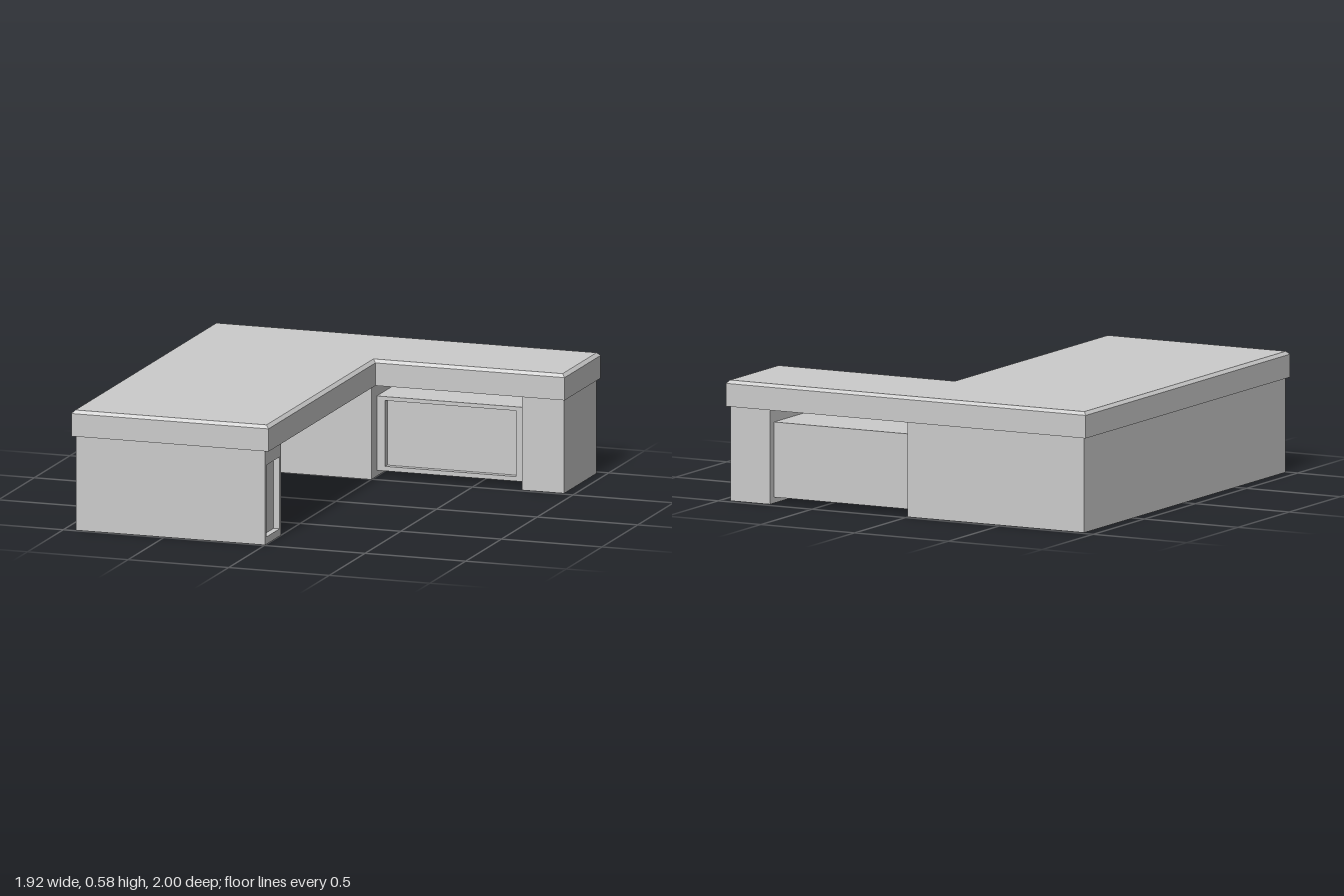
import * as THREE from 'three';

const material = new THREE.MeshStandardMaterial({ color: 0xcccccc, flatShading: true });

function addMesh(group, name, geometry) {
  const mesh = new THREE.Mesh(geometry, material);
  mesh.name = name;
  group.add(mesh);
  return mesh;
}

// Box given by its limits
function addBox(group, name, [x0, x1], [y0, y1], [z0, z1]) {
  const geometry = new THREE.BoxGeometry(x1 - x0, y1 - y0, z1 - z0);
  geometry.translate((x0 + x1) / 2, (y0 + y1) / 2, (z0 + z1) / 2);
  return addMesh(group, name, geometry);
}

// Floor plan of [x, z] points raised from y0 to y1
function raisePlan(points, y0, y1, steps = 1) {
  const shape = new THREE.Shape(points.map(([x, z]) => new THREE.Vector2(x, -z)));
  return new THREE.ExtrudeGeometry(shape, { depth: y1 - y0, steps, bevelEnabled: false })
    .rotateX(-Math.PI / 2).translate(0, y0, 0);
}

// Rectangular frame facing +z, with an opening
function frame([x0, x1], [y0, y1], [hx0, hx1], [hy0, hy1], depth) {
  const rect = (a, b, c, d) => [[a, c], [b, c], [b, d], [a, d]].map((p) => new THREE.Vector2(...p));
  const shape = new THREE.Shape(rect(x0, x1, y0, y1));
  shape.holes.push(new THREE.Path(rect(hx0, hx1, hy0, hy1)));
  return new THREE.ExtrudeGeometry(shape, { depth, bevelEnabled: false });
}

export function createModel() {
  const desk = new THREE.Group();
  desk.name = 'cornerDesk';
  const under = 0.452, top = 0.576, chamfer = 0.015, inset = 0.03;

  // L-shaped worktop: the upper ring is drawn inwards to chamfer its edge
  const plan = [[-0.96, -1], [-0.96, 1], [0.02, 1], [0.02, -0.495], [0.96, -0.495], [0.96, -1]];
  const worktop = raisePlan(plan, under, top, 2);
  const p = worktop.attributes.position;
  const middle = (under + top) / 2;
  for (let i = 0; i < p.count; i++) {
    const x = p.getX(i), y = p.getY(i), z = p.getZ(i);
    if (y > middle + 0.01) {
      p.setX(i, x + (x < -0.9 ? chamfer : -chamfer));
      p.setZ(i, z + (z < -0.9 ? chamfer : -chamfer));
    } else if (y > middle - 0.01) {
      p.setY(i, top - chamfer);
    }
  }
  worktop.computeVertexNormals();
  addMesh(desk, 'worktop', worktop);

  // C-shaped base: front pedestal, side wall and rear pedestal
  addMesh(desk, 'base', raisePlan([
    [-0.94, -0.98], [-0.94, 0.99], [-inset, 0.99], [-inset, 0.767],
    [-0.8, 0.767], [-0.8, -0.493], [0, -0.493], [0, -0.98],
  ], 0, under));

  // Framed end of the front pedestal, facing +x
  const end = frame([-0.99, -0.767], [0, under], [-0.973, -0.786], [0.035, 0.38], inset);
  addMesh(desk, 'pedestalEndFrame', end.rotateY(Math.PI / 2).translate(-inset, 0, 0));

  // Pedestal under the short wing
  addBox(desk, 'wingPedestal', [0.74, 0.95], [0, under], [-0.972, -0.517]);

  // Drawer unit hung between the pedestals, with a framed front
  const front = -0.57;
  addBox(desk, 'drawerUnit', [0, 0.74], [0.028, 0.385], [-0.93, front - inset]);
  const drawerFrame = frame([0, 0.74], [0.028, 0.385], [0.042, 0.692], [0.05, 0.366], inset);
  addMesh(desk, 'drawerFrame', drawerFrame.translate(0, 0, front - inset));

  return desk;
}
